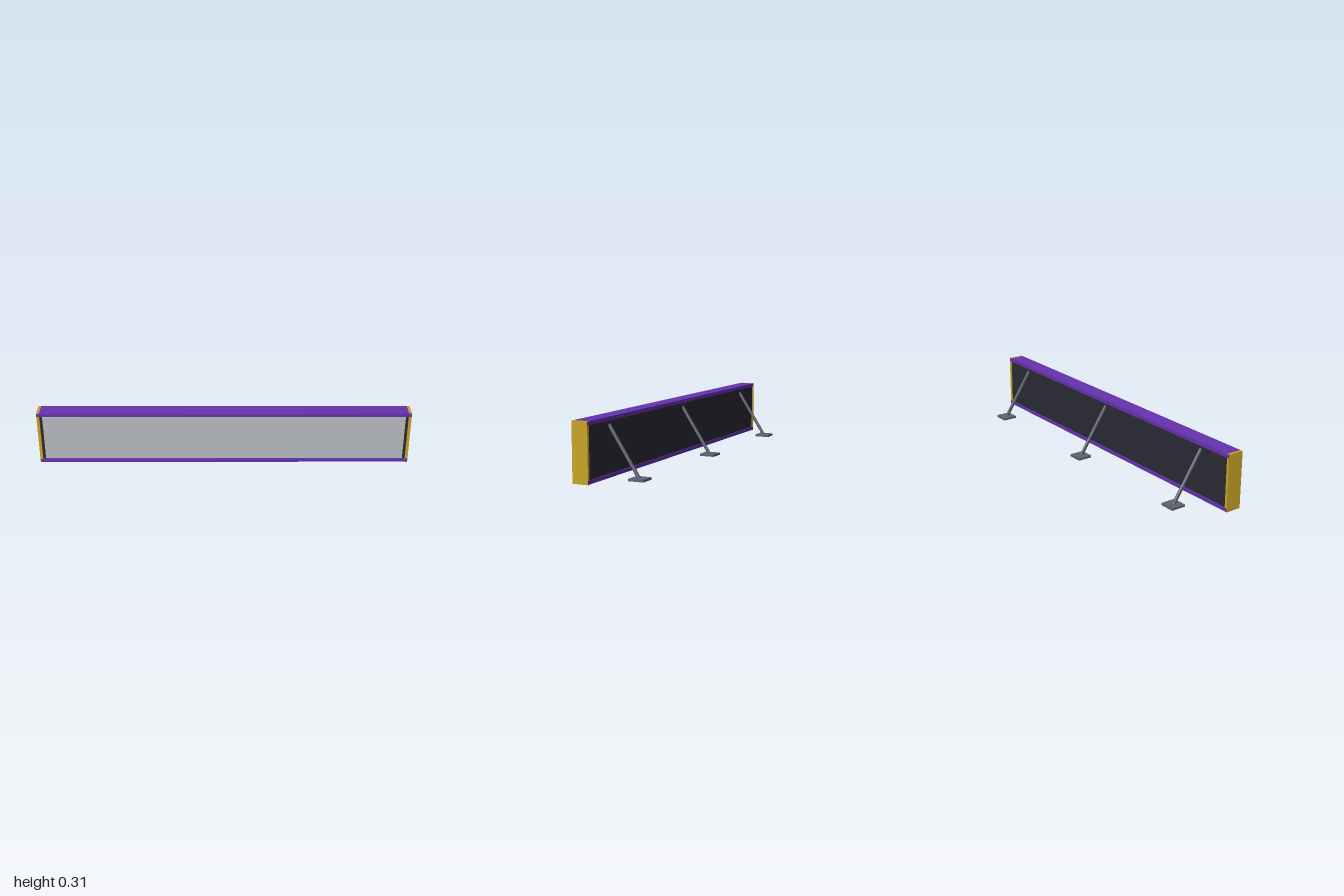
import * as THREE from 'three';

const paint = (name, color) => {
  const m = new THREE.MeshStandardMaterial({ color });
  m.name = name;
  return m;
};

export function createModel() {
  const purple = paint('purple', 0x6633b0);
  const gold = paint('gold', 0xc9a426);
  const grey = paint('light grey', 0xb8bcc0);
  const dark = paint('charcoal', 0x2a2a35);
  const steel = paint('steel', 0x51545f);
  steel.flatShading = true;
  const plate = paint('plate grey', 0x5d6373);

  const model = new THREE.Group();
  model.name = 'advertisingBoard';

  // Box given by its extents on each axis
  const box = (name, material, [x0, x1], [y0, y1], [z0, z1]) => {
    const mesh = new THREE.Mesh(new THREE.BoxGeometry(x1 - x0, y1 - y0, z1 - z0), material);
    mesh.position.set((x0 + x1) / 2, (y0 + y1) / 2, (z0 + z1) / 2);
    mesh.name = name;
    model.add(mesh);
    return mesh;
  };

  // Cabinet, recessed inside the frame, and its display face
  box('cabinet', dark, [-0.985, 0.985], [0.009, 0.3], [0.063, 0.138]);
  box('displayFace', grey, [-0.97, 0.97], [0.033, 0.287], [0.137, 0.141]);

  // Frame: rails run across the front of the end caps
  box('topRail', purple, [-0.9995, 0.9995], [0.29, 0.3095], [0.058, 0.145]);
  box('bottomRail', purple, [-0.9995, 0.9995], [0.0105, 0.03], [0.058, 0.145]);
  for (const s of [-1, 1]) {
    const cap = box(s > 0 ? 'leftEndCap' : 'rightEndCap', gold, [-0.0075, 0.0075], [0.009, 0.31], [0.0585, 0.1445]);
    cap.position.x = s * 0.9925;
  }

  // Rear supports: slanted strut on a square foot
  const top = new THREE.Vector3(0, 0.272, 0.068);
  const bottom = new THREE.Vector3(0, 0.0055, -0.107);
  const along = top.clone().sub(bottom);
  const strutShape = new THREE.CylinderGeometry(0.0095, 0.0095, along.length(), 8);
  for (const x of [-0.79, 0, 0.79]) {
    const strut = new THREE.Mesh(strutShape, steel);
    strut.name = 'supportStrut';
    strut.position.copy(top).add(bottom).multiplyScalar(0.5).setX(x);
    strut.quaternion.setFromUnitVectors(new THREE.Vector3(0, 1, 0), along.clone().normalize());
    model.add(strut);
    box('footPlate', plate, [x - 0.041, x + 0.041], [0.009, 0.021], [-0.143, -0.061]);
  }

  return model;
}
